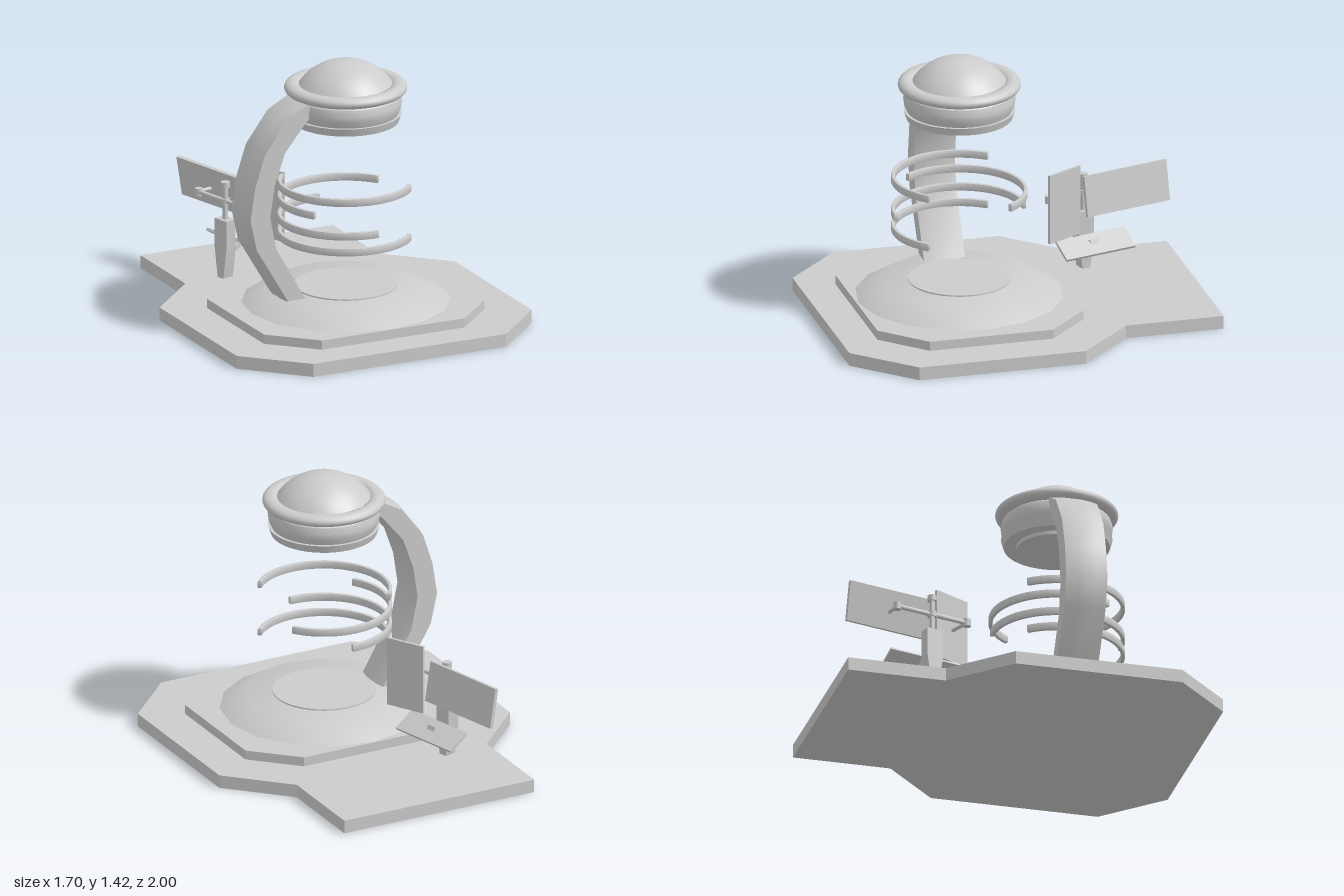
import * as THREE from 'three';
import { toCreasedNormals } from 'three/addons/utils/BufferGeometryUtils.js';

const CZ = 0.26; // z of the round platform's axis
const material = new THREE.MeshStandardMaterial({ color: 0xcccccc, side: THREE.DoubleSide });

function add(parent, name, geometry, x = 0, y = 0, z = 0) {
  const mesh = new THREE.Mesh(toCreasedNormals(geometry, 0.6), material);
  mesh.name = name;
  mesh.position.set(x, y, z);
  parent.add(mesh);
  return mesh;
}

// Flat slab from an outline in x and z
function slab(outline, height) {
  const shape = new THREE.Shape(outline.map(([x, z]) => new THREE.Vector2(x, z)));
  return new THREE.ExtrudeGeometry(shape, { depth: height, bevelEnabled: false })
    .rotateX(Math.PI / 2).translate(0, height, 0);
}

function lathe(points, segments = 48) {
  return new THREE.LatheGeometry(points.map(([r, y]) => new THREE.Vector2(r, y)), segments);
}

// Mirrors half an outline (x > 0) across x = 0
function mirrored(half) {
  return [...half, ...half.map(([x, z]) => [-x, z]).reverse()];
}

// Thin rounded hoop covering the angles from..to in degrees
function hoop(from, to) {
  const b = 0.005, a = THREE.MathUtils.degToRad(from), e = THREE.MathUtils.degToRad(to);
  const shape = new THREE.Shape();
  shape.absarc(0, 0, 0.352 - b, a, e, false);
  shape.absarc(0, 0, 0.332 + b, e, a, true);
  return new THREE.ExtrudeGeometry(shape, {
    depth: 0.042 - 2 * b, bevelThickness: b, bevelSize: b, bevelSegments: 2, curveSegments: 32,
  }).rotateX(Math.PI / 2).translate(0, 0.021 - b, 0);
}

// Curved arm: each station gives outer x, y and inner x, y
function armGeometry() {
  const stations = [
    [-0.39, 0.18, -0.265, 0.18], [-0.4, 0.2, -0.275, 0.2], [-0.58, 0.5, -0.44, 0.49],
    [-0.617, 0.665, -0.475, 0.665], [-0.59, 0.84, -0.45, 0.835], [-0.535, 1.01, -0.39, 1.005],
    [-0.41, 1.18, -0.27, 1.15], [-0.27, 1.255, -0.22, 1.2], [-0.2, 1.275, -0.18, 1.21],
  ];
  const section = [[0, 0.05], [0.1, 0.11], [0.9, 0.11], [1, 0.05],
    [1, -0.05], [0.9, -0.11], [0.1, -0.11], [0, -0.05]];
  const positions = [], index = [], n = section.length;
  stations.forEach(([ox, oy, ix, iy], k) => section.forEach(([t, z], j) => {
    positions.push(ox + (ix - ox) * t, oy + (iy - oy) * t, z);
    if (k === 0) return;
    const a = (k - 1) * n + j, b = (k - 1) * n + (j + 1) % n;
    index.push(a, b, b + n, a, b + n, a + n);
  }));
  const geometry = new THREE.BufferGeometry();
  geometry.setAttribute('position', new THREE.Float32BufferAttribute(positions, 3));
  geometry.setIndex(index);
  geometry.computeVertexNormals();
  return geometry;
}

function rod(parent, name, from, to, radius) {
  const a = new THREE.Vector3(...from), b = new THREE.Vector3(...to);
  const mesh = add(parent, name, new THREE.CylinderGeometry(radius, radius, a.distanceTo(b), 12));
  mesh.position.copy(a).lerp(b, 0.5);
  mesh.quaternion.setFromUnitVectors(new THREE.Vector3(0, 1, 0), b.sub(a).normalize());
}

function createConsole() {
  const console = new THREE.Group();
  console.name = 'console';
  console.position.set(-0.32, 0, -0.49);
  console.rotation.y = THREE.MathUtils.degToRad(15);

  // Pedestal, narrowing towards the floor
  const pedestal = new THREE.BoxGeometry(0.065, 0.315, 0.09, 1, 2, 1);
  const p = pedestal.attributes.position;
  for (let i = 0; i < p.count; i++) {
    if (p.getY(i) < -0.1) p.setZ(i, p.getZ(i) * 0.5);
  }
  pedestal.computeVertexNormals();
  add(console, 'pedestal', pedestal, 0, 0.2275, 0);

  // Sloping control tray and its bracket
  const tray = add(console, 'controlTray', new THREE.BoxGeometry(0.135, 0.015, 0.41), 0.115, 0.23, -0.005);
  tray.rotation.z = -0.53;
  const bracket = add(console, 'trayBracket', new THREE.BoxGeometry(0.11, 0.025, 0.05), 0.065, 0.225, 0);
  bracket.rotation.z = 0.4;

  // Upright post with cross arms to the two screens
  rod(console, 'post', [0, 0.38, 0], [0, 0.56, 0], 0.014);
  for (const y of [0.48, 0.57]) {
    add(console, 'postCollar', new THREE.CylinderGeometry(0.024, 0.024, 0.03, 16), 0, y, 0);
  }
  for (const s of [-1, 1]) {
    rod(console, 'crossArm', [0, 0.48, 0], [0, 0.48, 0.207 * s], 0.012);
    add(console, 'armJoint', new THREE.CylinderGeometry(0.02, 0.02, 0.04, 16), 0, 0.48, 0.207 * s);
    rod(console, 'screenMount', [0, 0.48, 0.207 * s], [s < 0 ? 0.09 : 0.122, 0.48, s < 0 ? -0.207 : 0.187], 0.01);
  }
  const wide = add(console, 'wideScreen', new THREE.BoxGeometry(0.02, 0.215, 0.49), 0.09, 0.492, -0.204);
  wide.rotation.z = 0.18;
  const tall = add(console, 'tallScreen', new THREE.BoxGeometry(0.015, 0.375, 0.22), 0.122, 0.4875, 0.184);
  tall.rotation.y = 0.25;
  return console;
}

export function createModel() {
  const model = new THREE.Group();
  model.name = 'scanningStation';

  // Stepped floor
  add(model, 'floorSlab', slab(mirrored([[0.555, -1], [0.555, -0.48], [0.85, -0.185],
    [0.85, 0.705], [0.555, 1]]), 0.07));
  add(model, 'step', slab(mirrored([[0.41, -0.29], [0.635, -0.07], [0.635, 0.59], [0.41, 0.81]]), 0.05), 0, 0.07);
  add(model, 'platform', lathe([[0.54, 0.12], [0.4, 0.2], [0, 0.2]], 16), 0, 0, CZ);
  add(model, 'standingPad', new THREE.CylinderGeometry(0.265, 0.265, 0.02, 40), 0, 0.197, CZ);

  add(model, 'arm', armGeometry(), 0, 0, CZ);

  // Overhead unit: body, rim and dome
  add(model, 'headBody', lathe([[0, 1.075], [0.21, 1.075], [0.21, 1.095], [0.275, 1.095], [0.288, 1.137],
    [0.272, 1.137], [0.286, 1.17], [0.29, 1.2], [0.28, 1.235], [0.255, 1.255], [0.24, 1.275]]), 0, 0, CZ);
  const rim = [];
  for (let i = 0; i <= 16; i++) {
    const a = (i / 16) * Math.PI * 2;
    rim.push([0.275 + 0.043 * Math.cos(a), 1.275 + 0.03 * Math.sin(a)]);
  }
  add(model, 'headRim', lathe(rim), 0, 0, CZ);
  const R = 0.297;
  add(model, 'dome', new THREE.SphereGeometry(R, 48, 12, 0, Math.PI * 2, 0, 0.95), 0, 1.42 - R, CZ);

  // Partial hoops around the standing pad
  for (const [y, from, to] of [[0.757, 43, 220], [0.675, 145, 325], [0.575, 88, 272], [0.489, 43, 220]]) {
    add(model, 'hoop', hoop(from, to), 0, y, CZ);
  }

  model.add(createConsole());
  return model;
}
